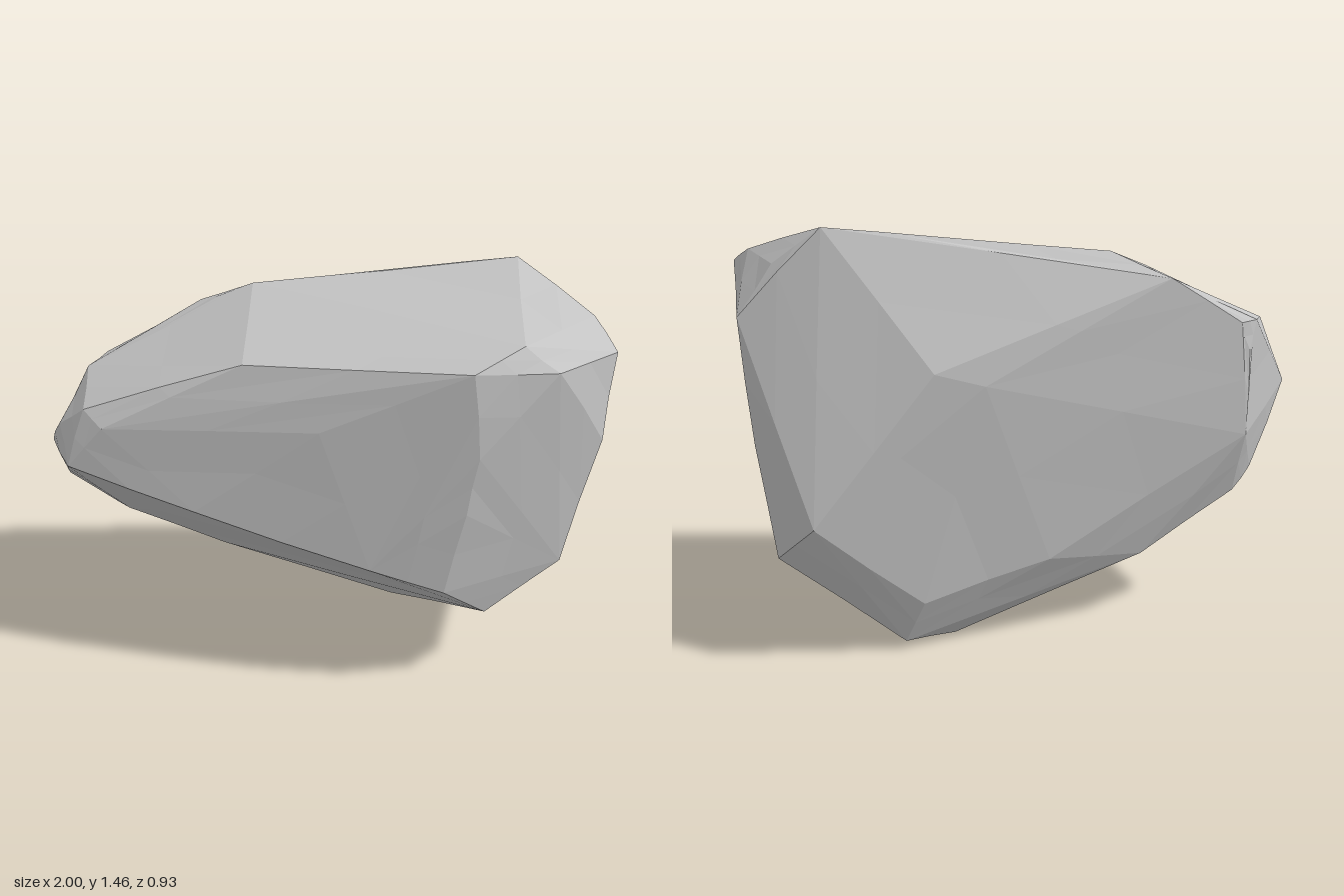
import * as THREE from 'three';
import { ConvexGeometry } from 'three/addons/geometries/ConvexGeometry.js';

const v = (p) => new THREE.Vector3(...p);

// Corners of the boulder, grouped by region
const tipEnd = [
  [-1, 0.83, -0.23], [-0.93, 0.86, 0.04], [-0.96, 0.95, -0.12], [-0.85, 1.09, -0.3],
  [-0.95, 0.7, -0.2], [-0.83, 0.53, -0.31], [-0.8, 1.02, 0.08], [-0.86, 1.06, 0],
];
const frontFace = [
  [0.36, 0.47, 0.43], [0.53, 0.33, 0.37], [0.8, 0.52, 0.35], [0.42, 0.8, 0.45],
  [0.45, 1.02, 0.46], [0.42, 1.32, 0.44], [0.71, 1.3, 0.42], [0.91, 1.0, 0.34],
  [0.1, 0.56, 0.39], [-0.5, 0.74, 0.21], [0.2, 1.22, 0.38], [-0.07, 1.08, 0.32],
];
const topFace = [
  [0.6, 1.38, 0.37], [0.73, 1.46, -0.24], [0.35, 1.42, -0.29], [-0.23, 1.36, -0.36],
  [-0.35, 1.31, -0.38], [-0.42, 1.27, -0.45], [0.88, 1.34, -0.16], [0.92, 1.36, 0.1],
  [-0.31, 1.28, 0.18],
];
const flatEnd = [
  [1, 1.17, -0.16], [0.95, 1.3, 0.28], [0.97, 0.75, -0.22], [0.92, 0.37, -0.28],
];
const backFace = [
  [0.42, 1.0, -0.46], [0.82, 0.5, -0.41], [0.25, 0.95, -0.47], [0.45, 0.19, -0.4],
  [0, 0.3, -0.41], [-0.74, 1.0, -0.43], [-0.74, 0.69, -0.43], [-0.78, 1.1, -0.4],
  [-0.7, 1.1, -0.44],
];
const underside = [
  [0.3, 0, -0.25], [0.5, 0.03, -0.33], [-0.38, 0.25, -0.34], [-0.75, 0.45, -0.33],
];

// Repeatable offset from a position, so neighbouring facets stay joined
function chip(p, amount) {
  const [x, y, z] = p.toArray().map((c) => Math.round(c * 1000));
  const n = Math.sin(x * 1.271 + y * 3.117 + z * 0.747) * 437.585;
  return (n - Math.floor(n) - 0.5) * amount;
}

// Split every triangle in four and push the new points slightly in or out
function roughen(geometry, amount) {
  const src = geometry.attributes.position;
  const centre = new THREE.Vector3(0, 0.75, 0);
  const out = [];
  const mid = (a, b) => {
    const m = a.clone().add(b).multiplyScalar(0.5);
    const dir = m.clone().sub(centre).normalize();
    return m.addScaledVector(dir, chip(m, amount));
  };
  for (let i = 0; i < src.count; i += 3) {
    const [a, b, c] = [0, 1, 2].map((k) => new THREE.Vector3().fromBufferAttribute(src, i + k));
    const ab = mid(a, b), bc = mid(b, c), ca = mid(c, a);
    for (const p of [a, ab, ca, ab, b, bc, ca, bc, c, ab, bc, ca]) out.push(p.x, p.y, p.z);
  }
  const result = new THREE.BufferGeometry();
  result.setAttribute('position', new THREE.Float32BufferAttribute(out, 3));
  result.computeVertexNormals();
  return result;
}

export function createModel() {
  const group = new THREE.Group();
  group.name = 'rock';

  const stone = new THREE.MeshStandardMaterial({ color: 0xc4c4c4, flatShading: true });
  stone.name = 'stone grey';

  const corners = [tipEnd, frontFace, topFace, flatEnd, backFace, underside].flat().map(v);
  const boulder = new THREE.Mesh(roughen(new ConvexGeometry(corners), 0.012), stone);
  boulder.name = 'boulder';
  group.add(boulder);
  return group;
}
